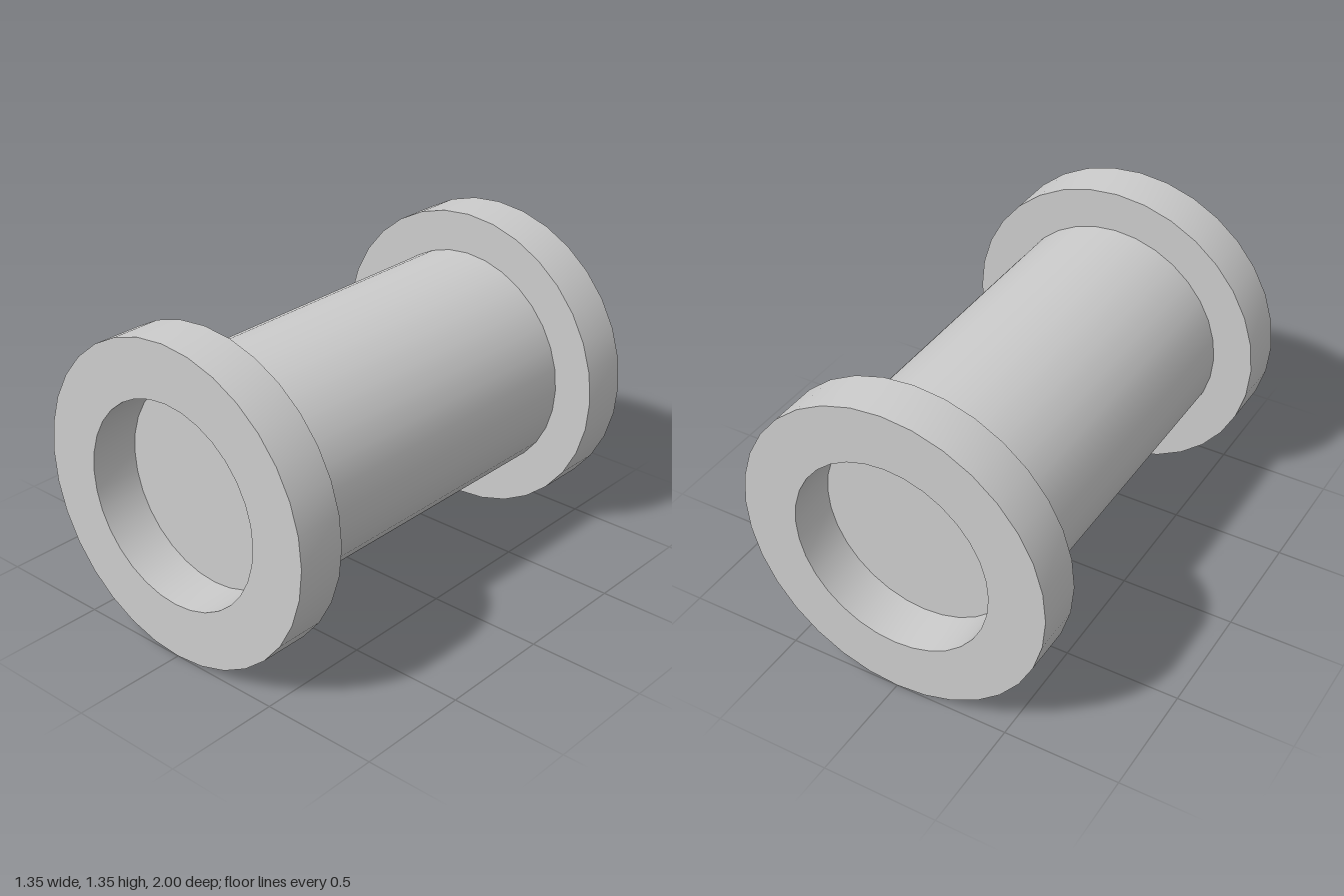
import * as THREE from 'three';
import { toCreasedNormals } from 'three/addons/utils/BufferGeometryUtils.js';

const SEGMENTS = 32;
const HALF_LENGTH = 1;
const FLANGE_INNER_Z = 0.785;
const FLANGE_RADIUS = 0.677;
const TUBE_RADIUS = 0.5;
const BORE_RADIUS = 0.435;

export function createModel() {
  const model = new THREE.Group();
  model.name = 'flangedSpool';
  const material = new THREE.MeshStandardMaterial({ color: 0xcccccc });

  const add = (name, geometry) => {
    const mesh = new THREE.Mesh(geometry, material);
    mesh.name = name;
    mesh.position.y = FLANGE_RADIUS;
    model.add(mesh);
    return mesh;
  };

  // Central barrel; its end caps form the floors of the recesses
  const barrel = new THREE.CylinderGeometry(TUBE_RADIUS, TUBE_RADIUS, 2 * FLANGE_INNER_Z, SEGMENTS);
  add('barrel', barrel.rotateX(Math.PI / 2));

  // Flange ring: inner shoulder, rim, end face and recess wall
  const profile = [
    [TUBE_RADIUS, FLANGE_INNER_Z],
    [FLANGE_RADIUS, FLANGE_INNER_Z],
    [FLANGE_RADIUS, HALF_LENGTH],
    [BORE_RADIUS, HALF_LENGTH],
    [BORE_RADIUS, FLANGE_INNER_Z],
  ].map(([r, z]) => new THREE.Vector2(r, z));
  const flange = toCreasedNormals(new THREE.LatheGeometry(profile, SEGMENTS), Math.PI / 6);
  flange.rotateX(Math.PI / 2);

  // The same flange closes both ends
  add('frontFlange', flange);
  add('backFlange', flange).rotation.y = Math.PI;

  return model;
}
